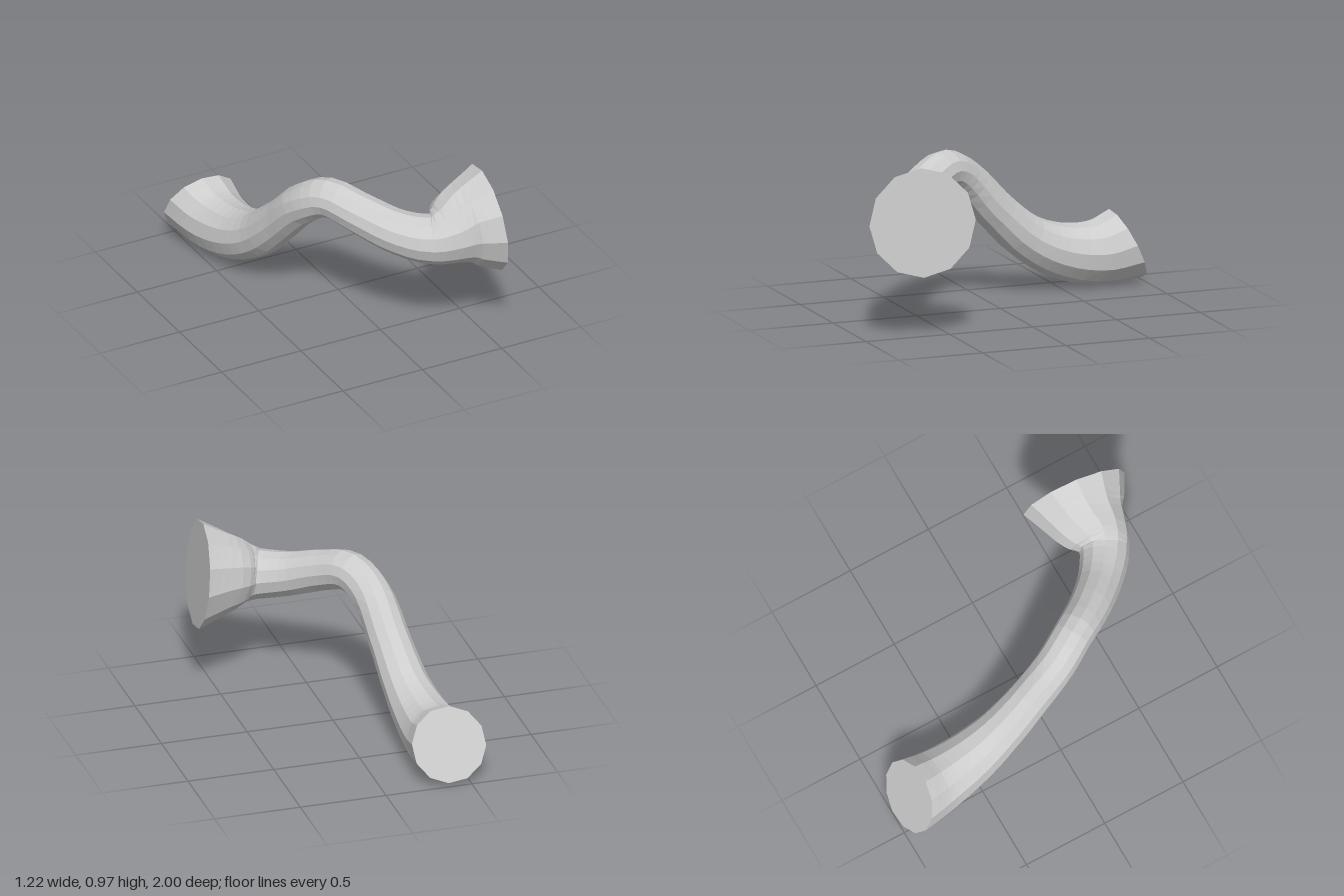
import * as THREE from 'three';

const SIDES = 12;
const RINGS = 40;

// centre line and radius, from the narrow rear end to the wide flared end: x, y, z, r
const PATH = [
  [-0.395, 0.225, -0.91, 0.215],
  [-0.38, 0.19, -0.73, 0.185],
  [-0.36, 0.222, -0.5, 0.157],
  [-0.335, 0.315, -0.3, 0.133],
  [-0.305, 0.49, -0.1, 0.118],
  [-0.262, 0.695, 0.1, 0.114],
  [-0.187, 0.783, 0.25, 0.112],
  [-0.08, 0.737, 0.412, 0.117],
  [0.07, 0.66, 0.575, 0.126],
  [0.22, 0.63, 0.685, 0.142],
  [0.3, 0.642, 0.7, 0.172],
  [0.42, 0.667, 0.685, 0.235],
  [0.573, 0.676, 0.69, 0.308],
];
const REAR_NORMAL = new THREE.Vector3(0, -0.42, 0.91).normalize();
const FLARE_NORMAL = new THREE.Vector3(1, 0.1, 0.1).normalize();

// rings of points swept along the centre line, tilted towards the cut at each end
function buildRings() {
  const curve = new THREE.CatmullRomCurve3(PATH.map(([x, y, z]) => new THREE.Vector3(x, y, z)));
  const up = new THREE.Vector3(0, 1, 0);
  const rings = [];
  for (let i = 0; i <= RINGS; i++) {
    const t = i / RINGS;
    const k = t * (PATH.length - 1);
    const n = Math.min(Math.floor(k), PATH.length - 2);
    const radius = THREE.MathUtils.lerp(PATH[n][3], PATH[n + 1][3], k - n);
    const centre = curve.getPoint(t);
    const dir = curve.getTangent(t);
    dir.lerp(REAR_NORMAL, Math.max(0, 1 - t / 0.12));
    dir.lerp(FLARE_NORMAL, Math.max(0, 1 - (1 - t) / 0.15)).normalize();
    const side = dir.clone().cross(up).normalize();
    const top = side.clone().cross(dir);
    const twist = 0.14 * (1 - t);
    const points = [];
    for (let j = 0; j < SIDES; j++) {
      const a = (j / SIDES) * Math.PI * 2 + twist;
      points.push(centre.clone()
        .addScaledVector(top, Math.cos(a) * radius)
        .addScaledVector(side, Math.sin(a) * radius));
    }
    rings.push({ centre, points });
  }
  return rings;
}

function meshFromTriangles(name, corners, material) {
  const geometry = new THREE.BufferGeometry().setFromPoints(corners);
  geometry.computeVertexNormals(); // unshared corners give flat facets
  const mesh = new THREE.Mesh(geometry, material);
  mesh.name = name;
  return mesh;
}

export function createModel() {
  const group = new THREE.Group();
  group.name = 'flaredPipe';
  const grey = new THREE.MeshStandardMaterial({ color: 0xcccccc });
  grey.name = 'lightGrey';

  const rings = buildRings();
  const wall = [], rearCap = [], flareCap = [];
  const first = rings[0], last = rings[RINGS];
  for (let j = 0; j < SIDES; j++) {
    const m = (j + 1) % SIDES;
    for (let i = 0; i < RINGS; i++) {
      const p = rings[i].points, q = rings[i + 1].points;
      wall.push(p[j], p[m], q[j], p[m], q[m], q[j]);
    }
    rearCap.push(first.centre, first.points[m], first.points[j]);
    flareCap.push(last.centre, last.points[j], last.points[m]);
  }

  group.add(
    meshFromTriangles('pipeWall', wall, grey),
    meshFromTriangles('rearCap', rearCap, grey),
    meshFromTriangles('flareCap', flareCap, grey),
  );
  return group;
}
